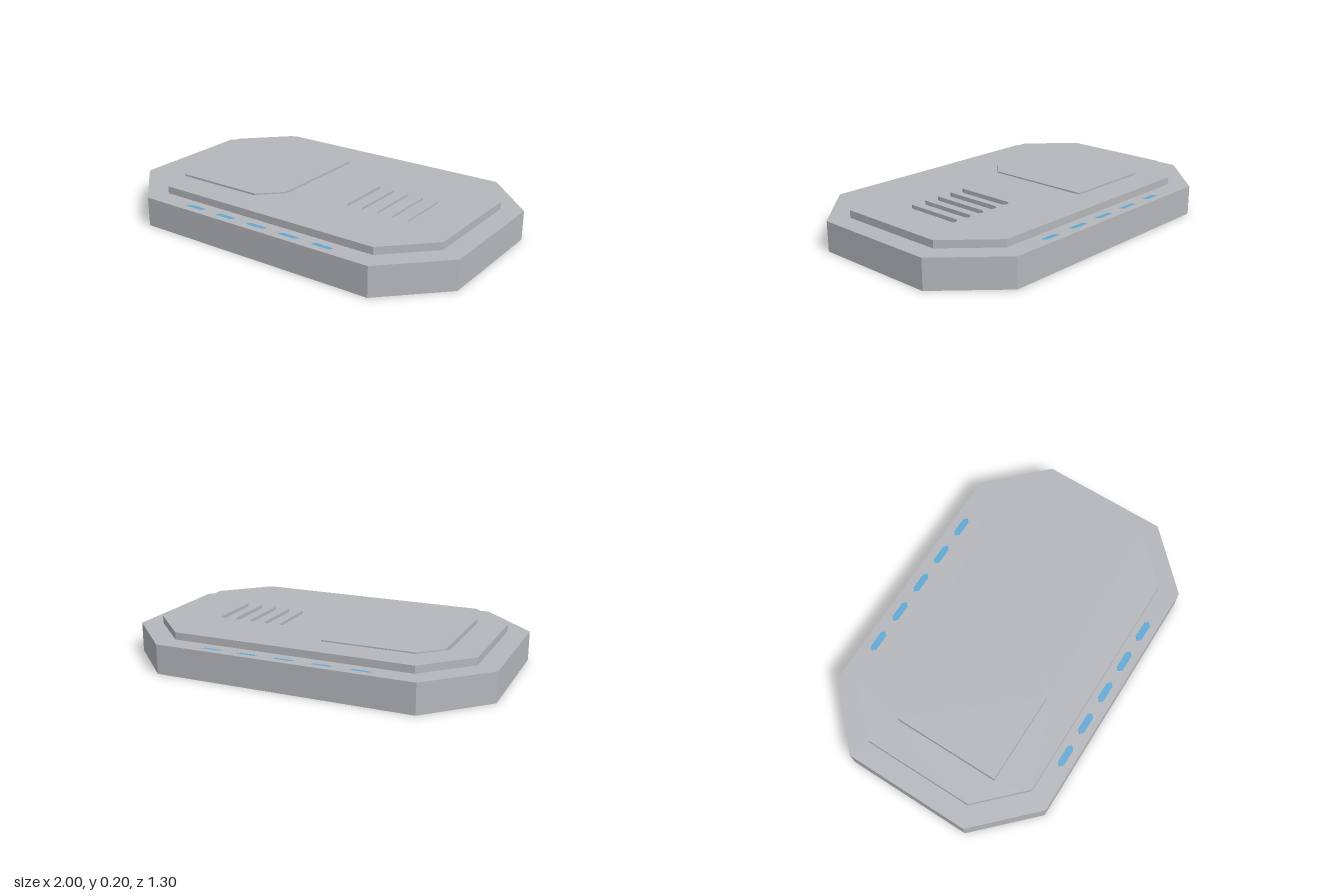
import * as THREE from 'three';

const hull = new THREE.MeshStandardMaterial({ color: 0xb4b6bb });
hull.name = 'hull grey';
const glow = new THREE.MeshStandardMaterial({ color: 0x5fa8d3 });
glow.name = 'light blue';

// Outlines are lists of [x, z] seen from above
const toVectors = (outline) => outline.map(([x, z]) => new THREE.Vector2(x, -z));

// Flat slab between two heights, with optional holes
function slab(name, outline, y0, y1, material, holes = []) {
  const shape = new THREE.Shape(toVectors(outline));
  shape.holes = holes.map((h) => new THREE.Path(toVectors(h)));
  const geometry = new THREE.ExtrudeGeometry(shape, { depth: y1 - y0, bevelEnabled: false });
  geometry.rotateX(-Math.PI / 2).translate(0, y0, 0);
  const mesh = new THREE.Mesh(geometry, material);
  mesh.name = name;
  return mesh;
}

// Rectangle with all four corners cut at 45 degrees
function octagon(hx, hz, cx, cz) {
  return [[hx, -cz], [hx, cz], [cx, hz], [-cx, hz], [-hx, cz], [-hx, -cz], [-cx, -hz], [cx, -hz]];
}

// Pointed light outline
function lozenge(x, z, hx, hz) {
  return [[x + hx, z], [x + hx - hz, z + hz], [x - hx + hz, z + hz],
    [x - hx, z], [x - hx + hz, z - hz], [x + hx - hz, z - hz]];
}

// Vent slot with rounded ends, running along z
function slot(x, halfLength, r) {
  const points = [];
  for (const end of [1, -1]) {
    for (let i = 0; i <= 8; i++) {
      const a = (Math.PI * i) / 8;
      points.push([x + end * r * Math.cos(a), end * (halfLength - r + r * Math.sin(a))]);
    }
  }
  return points;
}

export function createModel() {
  const group = new THREE.Group();
  group.name = 'panelledSlab';
  const baseOutline = octagon(1, 0.65, 0.7, 0.35);

  // Light pockets along both long edges
  const pockets = [];
  const lights = new THREE.Group();
  lights.name = 'edgeLights';
  for (const z of [-0.59, 0.59]) {
    for (let i = -2; i <= 2; i++) {
      const x = i * 0.203;
      pockets.push(lozenge(x, z, 0.07, 0.021));
      lights.add(slab('edgeLight', lozenge(x, z, 0.065, 0.018), 0.148, 0.152, glow));
    }
  }

  // Base block and its pocketed top layer
  group.add(slab('base', baseOutline, 0, 0.148, hull));
  group.add(slab('baseTop', baseOutline, 0.148, 0.16, hull, pockets));
  group.add(lights);

  // Raised deck, pierced by the vent slots and the hatch opening
  const vents = [];
  for (let i = 0; i < 6; i++) vents.push(slot(0.203 + i * 0.09, 0.203, 0.027));
  const hatchOpening = [[-0.605, -0.375], [-0.075, -0.375], [-0.075, 0.243],
    [-0.2, 0.37], [-0.735, 0.37], [-0.735, -0.248]];
  group.add(slab('deck', octagon(0.89, 0.54, 0.655, 0.305), 0.16, 0.2, hull, [...vents, hatchOpening]));

  // Hatch cover, separated from the deck by a thin groove
  const hatch = [[-0.597, -0.355], [-0.093, -0.355], [-0.093, 0.235],
    [-0.207, 0.35], [-0.713, 0.35], [-0.713, -0.24]];
  group.add(slab('hatchCover', hatch, 0.16, 0.2, hull));

  return group;
}
